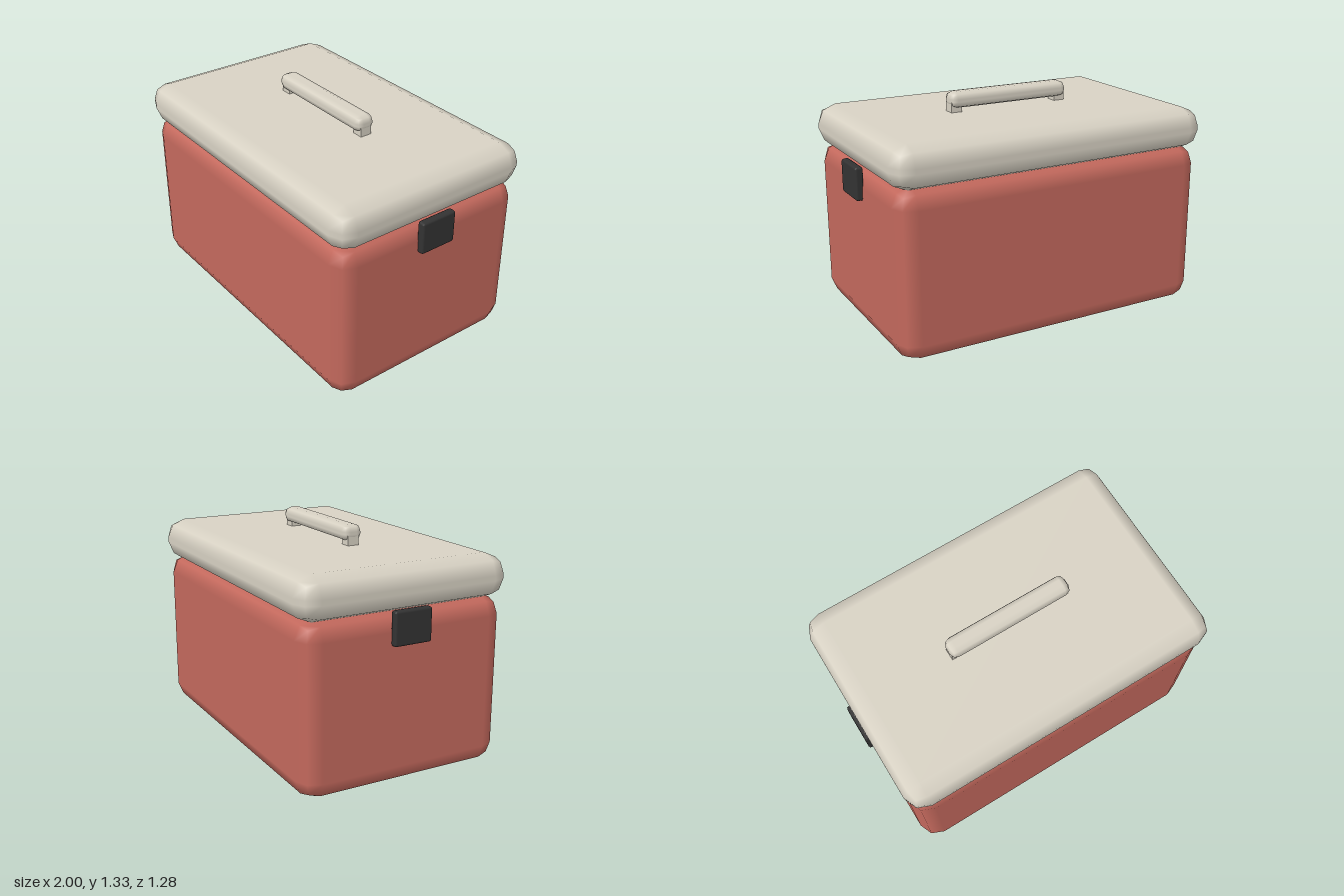
import * as THREE from 'three';
import { RoundedBoxGeometry } from 'three/addons/geometries/RoundedBoxGeometry.js';

const material = (name, color) => {
  const m = new THREE.MeshStandardMaterial({ color });
  m.name = name;
  return m;
};

// Softly bevelled block given by its true outer size; a one-segment bevel
// falls short of the nominal size on each side, so that is added back.
function block(name, mat, [w, h, d], radius, [x, y, z]) {
  const extra = 2 * radius * (1 - 3 / Math.sqrt(11));
  const geometry = new RoundedBoxGeometry(w + extra, h + extra, d + extra, 1, radius);
  const mesh = new THREE.Mesh(geometry, mat);
  mesh.name = name;
  mesh.position.set(x, y, z);
  return mesh;
}

export function createModel() {
  const red = material('red shell', 0xc4695d);
  const cream = material('cream plastic', 0xd8d2c4);
  const dark = material('dark latch', 0x333333);

  const model = new THREE.Group();
  model.name = 'coolBox';

  // Tub and lid
  model.add(block('body', red, [1.91, 0.962, 1.226], 0.11, [0, 0.481, 0]));
  model.add(block('lid', cream, [1.946, 0.228, 1.262], 0.11, [0, 1.076, 0]));

  // Carry handle: a bar on two posts
  const handle = new THREE.Group();
  handle.name = 'handle';
  handle.add(block('handleBar', cream, [0.76, 0.087, 0.112], 0.04, [0, 1.27, 0]));
  for (const side of [-1, 1]) {
    const post = new THREE.Mesh(new THREE.BoxGeometry(0.068, 0.08, 0.07), cream);
    post.name = side > 0 ? 'leftHandlePost' : 'rightHandlePost';
    post.position.set(side * 0.344, 1.217, 0);
    handle.add(post);
  }
  model.add(handle);

  // Side latches
  for (const side of [-1, 1]) {
    model.add(block(side > 0 ? 'leftLatch' : 'rightLatch', dark,
      [0.045, 0.19, 0.226], 0.014, [side * 0.9775, 0.885, 0]));
  }
  return model;
}
